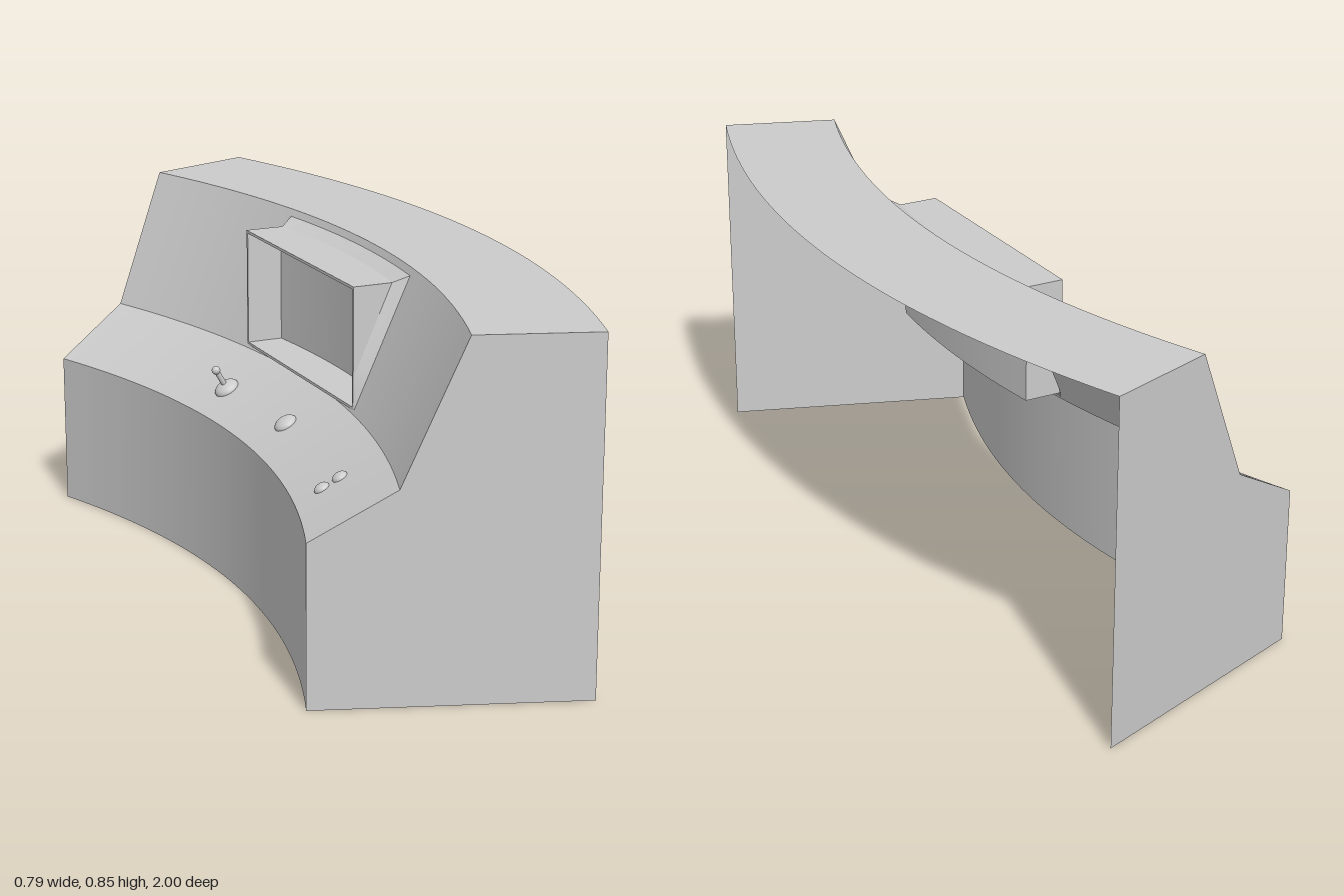
import * as THREE from 'three';

const material = new THREE.MeshStandardMaterial({ color: 0xcccccc, side: THREE.DoubleSide });

// Cross-section of the console at its ends: [x, y]
const profile = [[-0.395, 0], [-0.395, 0.39], [-0.205, 0.505], [-0.065, 0.845], [0.21, 0.845]];
const endZ = (x) => 0.785 + (x + 0.395) * 0.356;
const bow = (x) => 0.155 + (x + 0.395) * 0.045;

// Point on the shell: panel k, u from end to end (-1..1), t up the panel (0..1)
function shellPoint(k, u, t) {
  const [x0, y0] = profile[k], [x1, y1] = profile[k + 1];
  const x = x0 + (x1 - x0) * t;
  return new THREE.Vector3(x + bow(x) * (1 - u * u), y0 + (y1 - y0) * t, endZ(x) * u);
}

// Surface through a grid of points; cells for which skip() is true stay open
function grid(us, ts, point, skip = () => false) {
  const positions = [], index = [];
  for (const t of ts) for (const u of us) positions.push(...point(u, t).toArray());
  const w = us.length;
  for (let j = 0; j < ts.length - 1; j++) {
    for (let i = 0; i < w - 1; i++) {
      if (skip((us[i] + us[i + 1]) / 2, (ts[j] + ts[j + 1]) / 2)) continue;
      const a = j * w + i;
      index.push(a, a + 1, a + w + 1, a, a + w + 1, a + w);
    }
  }
  const geometry = new THREE.BufferGeometry();
  geometry.setAttribute('position', new THREE.Float32BufferAttribute(positions, 3));
  geometry.setIndex(index);
  geometry.computeVertexNormals();
  return geometry;
}

const range = (a, b, n) => Array.from({ length: n + 1 }, (_, i) => a + ((b - a) * i) / n);

export function createModel() {
  const model = new THREE.Group();
  const add = (name, geometry, parent = model) => {
    const mesh = new THREE.Mesh(geometry, material);
    mesh.name = name;
    parent.add(mesh);
    return mesh;
  };

  // Curved panels, with a window for the screen in the sloping one; back and bottom stay open
  const hole = { u: 0.375, t0: 0.03, t1: 0.95 };
  const us = [...range(-1, -hole.u, 10), ...range(-hole.u, hole.u, 12).slice(1), ...range(hole.u, 1, 10).slice(1)];
  ['frontWall', 'controlDesk', 'screenPanel', 'topPanel'].forEach((name, k) => {
    const window = k === 2;
    add(name, grid(us, window ? [0, hole.t0, hole.t1, 1] : [0, 1], (u, t) => shellPoint(k, u, t),
      (u, t) => window && Math.abs(u) < hole.u && t > hole.t0 && t < hole.t1));
  });

  // End walls
  const outline = new THREE.Shape([...profile, [0.21, 0]].map(([x, y]) => new THREE.Vector2(x, y)));
  for (const side of [1, -1]) {
    const geometry = new THREE.ShapeGeometry(outline);
    const p = geometry.attributes.position;
    for (let i = 0; i < p.count; i++) p.setZ(i, endZ(p.getX(i)));
    geometry.computeVertexNormals();
    add(side > 0 ? 'leftEndWall' : 'rightEndWall', geometry).scale.z = side;
  }

  // Screen hood: each side flares from the window edge to a flat rim, then turns in to the screen
  const screenX = (z) => 0.05 - 0.2 * z * z;
  const hood = new THREE.Group();
  hood.name = 'screenHood';
  model.add(hood);
  const corners = [[-1, 0], [1, 0], [1, 1], [-1, 1]];
  corners.forEach(([a0, b0], s) => {
    const [a1, b1] = corners[(s + 1) % 4];
    const at = (f, ring) => {
      const a = a0 + (a1 - a0) * f, b = b0 + (b1 - b0) * f;
      const edge = shellPoint(2, a * hole.u, hole.t0 + (hole.t1 - hole.t0) * b);
      if (ring === 0) return edge;
      const inset = ring > 2 ? 0.007 : 0;
      const z = a * (0.314 - inset), y = 0.512 + inset + b * (0.298 - 2 * inset);
      if (ring === 4) return new THREE.Vector3(screenX(z), y, z);
      return new THREE.Vector3(ring === 1 ? Math.max(edge.x - 0.035, -0.06) : -0.06, y, z);
    };
    const f = range(0, 1, 12);
    add('hoodFlare', grid(f, [0, 1], at), hood);
    add('hoodWall', grid(f, [1, 2], at), hood);
    add('hoodRim', grid(f, [2, 3], at), hood);
    add('hoodLining', grid(f, [3, 4], at), hood);
  });
  add('screen', grid(range(-0.307, 0.307, 12), [0.519, 0.803],
    (z, y) => new THREE.Vector3(screenX(z), y, z)), hood);

  // Controls sit on the desk, with their local y along the desk normal
  function control(name, u, t) {
    const group = new THREE.Group();
    group.name = name;
    const p = shellPoint(1, u, t);
    const along = shellPoint(1, u + 0.01, t).sub(p), up = shellPoint(1, u, t + 0.01).sub(p);
    group.position.copy(p);
    group.quaternion.setFromUnitVectors(new THREE.Vector3(0, 1, 0), along.cross(up).normalize());
    model.add(group);
    return group;
  }
  const dome = (r, h) => new THREE.SphereGeometry(r, 20, 8, 0, Math.PI * 2, 0, Math.PI / 2).scale(1, h / r, 1);
  add('buttonCap', dome(0.029, 0.016), control('largeButton', 0.17, 0.45));
  for (const t of [0.31, 0.515]) add('buttonCap', dome(0.019, 0.012), control('smallButton', 0.7, t));

  // Joystick with a leaning stick and a rounded knob
  const joystick = control('joystick', -0.245, 0.42);
  add('joystickBase', dome(0.032, 0.018), joystick);
  const stick = add('stick', new THREE.CylinderGeometry(0.007, 0.007, 0.05, 12).translate(0, 0.025, 0), joystick);
  stick.position.y = 0.01;
  const knob = add('knob', new THREE.SphereGeometry(0.011, 14, 10), stick);
  knob.position.y = 0.05;

  return model;
}
